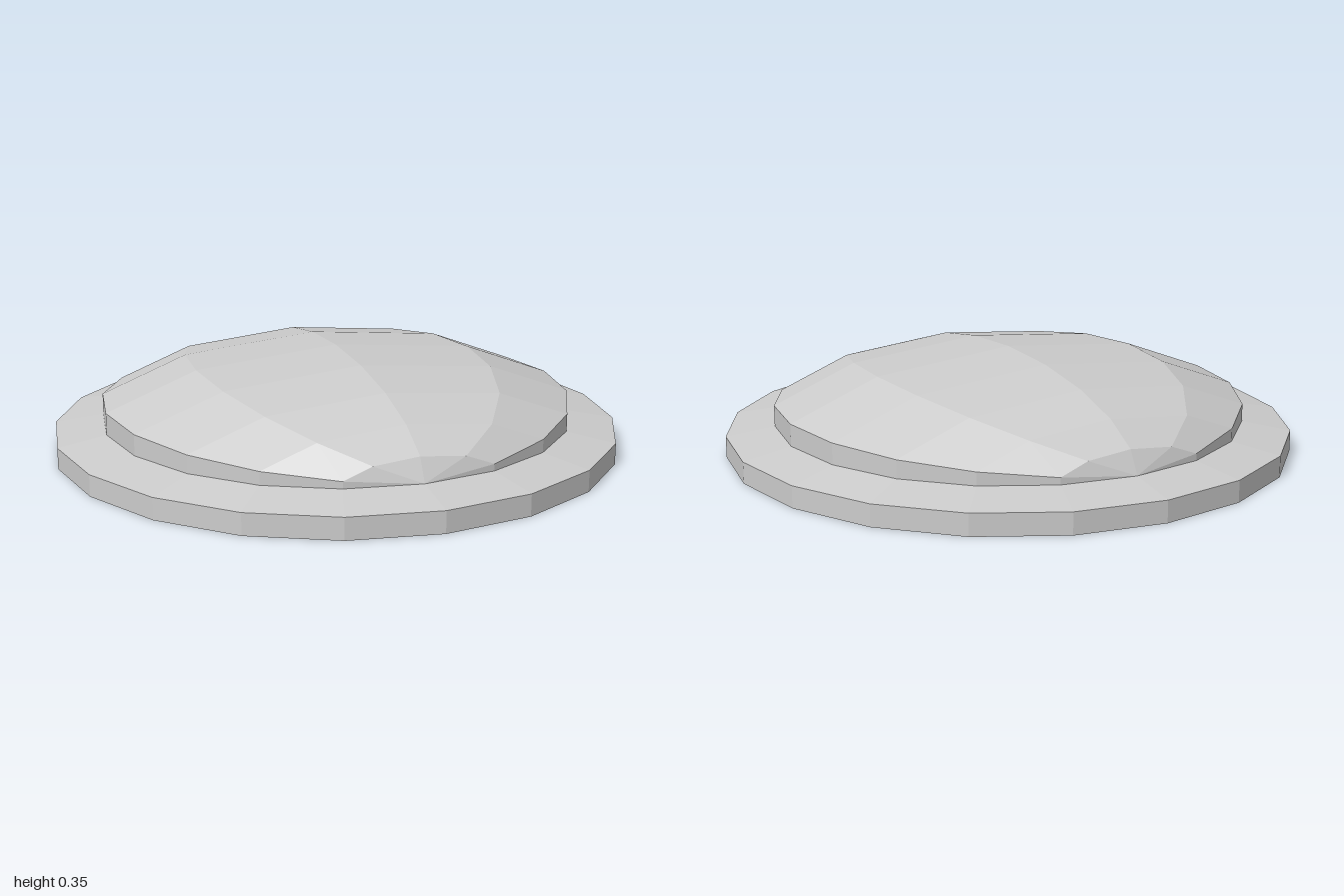
import * as THREE from 'three';

const SIDES = 20;
const RIM = 0.83;     // radius of the dome's footprint
const RIM_Y = 0.104;  // height where the dome meets the base

// Cross-section of the dome at z = 0, from +x over the top to -x (heights above RIM_Y)
const half = [[0.83, 0], [0.83, 0.077], [0.51, 0.2]];
const section = [...half, [0, 0.249], ...half.map(([x, y]) => [-x, y]).reverse()];

// Loft the section from front to back, shrinking it along a circle to a point at each end
function domeGeometry() {
  const positions = [], index = [];
  const steps = SIDES / 2, row = section.length;
  for (let i = 0; i <= steps; i++) {
    const a = (i / steps) * Math.PI;
    const s = Math.sin(a);
    for (const [x, y] of section) positions.push(x * s, RIM_Y + y * s, RIM * Math.cos(a));
  }
  for (let i = 0; i < steps; i++) {
    for (let j = 0; j < row - 1; j++) {
      const a = i * row + j, b = a + row;
      if (i > 0) index.push(a, b, a + 1);
      if (i < steps - 1) index.push(a + 1, b, b + 1);
    }
  }
  const indexed = new THREE.BufferGeometry();
  indexed.setAttribute('position', new THREE.Float32BufferAttribute(positions, 3));
  indexed.setIndex(index);
  const geometry = indexed.toNonIndexed();
  geometry.computeVertexNormals();
  return geometry;
}

export function createModel() {
  const group = new THREE.Group();
  const material = new THREE.MeshStandardMaterial({ color: 0xcccccc, flatShading: true });

  // Flat round base with a gently sloping top
  const profile = [[0, 0], [1, 0], [1, 0.075], [RIM, RIM_Y]].map(([r, y]) => new THREE.Vector2(r, y));
  const base = new THREE.Mesh(new THREE.LatheGeometry(profile, SIDES), material);
  base.name = 'base';

  // Faceted dome with a side wall that tapers away to front and back
  const dome = new THREE.Mesh(domeGeometry(), material);
  dome.name = 'dome';

  group.add(base, dome);
  return group;
}
